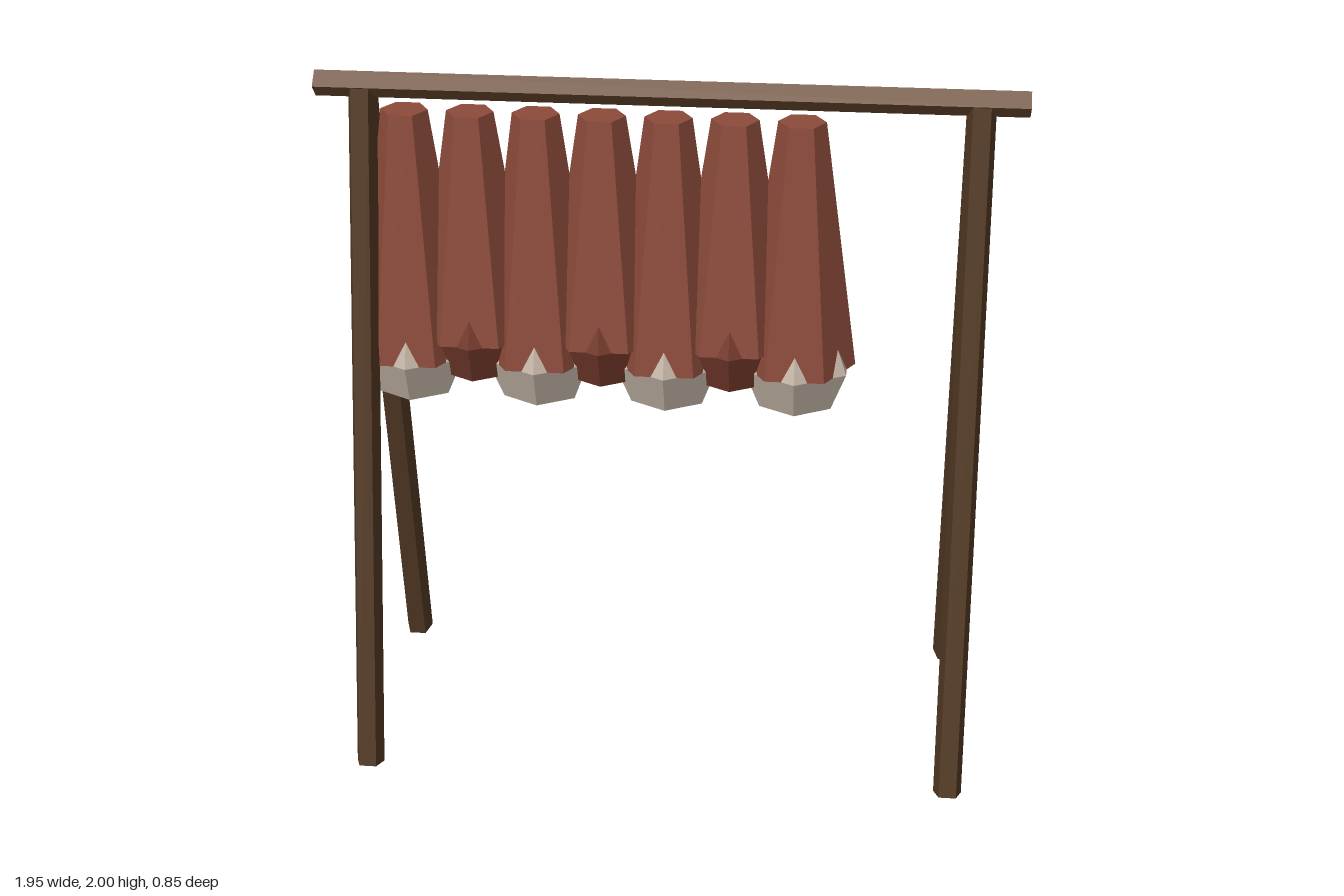
import * as THREE from 'three';

const mat = (color) => new THREE.MeshStandardMaterial({ color, flatShading: true });

export function createModel() {
  const model = new THREE.Group();
  model.name = 'dryingRack';

  const beamWood = mat(0x6b4a2f);
  const legWood = mat(0x523823);
  const red = mat(0x8b4a3a);
  const darkRed = mat(0x74392b);
  const pale = mat(0xc4b5a6);

  const add = (parent, name, geometry, material, x, y, z) => {
    const mesh = new THREE.Mesh(geometry, material);
    mesh.name = name;
    mesh.position.set(x, y, z);
    parent.add(mesh);
    return mesh;
  };

  // Four-sided ridge beam, one corner up
  const beam = add(model, 'beam', new THREE.CylinderGeometry(0.037, 0.037, 1.95, 4), beamWood, 0, 1.963, 0);
  beam.rotation.z = Math.PI / 2;

  // Two A-frames of five-sided poles
  const topY = 1.955, footY = 0.008, footZ = 0.39;
  const legLength = Math.hypot(topY - footY, footZ);
  const tilt = Math.atan2(footZ, topY - footY);
  const legGeometry = new THREE.CylinderGeometry(0.042, 0.042, legLength, 5, 1, false, Math.PI);
  for (const x of [-0.845, 0.845]) {
    for (const side of [1, -1]) {
      const name = (side > 0 ? 'front' : 'back') + (x > 0 ? 'LeftLeg' : 'RightLeg');
      const leg = add(model, name, legGeometry, legWood, x, (topY + footY) / 2, side * footZ / 2);
      leg.rotation.x = -side * tilt;
    }
  }

  // Row of hanging bundles; every other one is longer with a pale end
  const topOfBundle = 1.895;
  const endGeometry = new THREE.SphereGeometry(0.165, 6, 4, Math.PI / 2);
  for (let i = 0; i < 7; i++) {
    const isPale = i % 2 === 0;
    const bottom = isPale ? 1.18 : 1.247;
    const height = topOfBundle - bottom;
    const bundle = new THREE.Group();
    bundle.name = 'hangingBundle' + (i + 1);
    bundle.position.x = -0.73 + i * 0.1825;
    add(bundle, 'bundleBody', new THREE.CylinderGeometry(0.066, 0.166, height, 6, 1, false, Math.PI / 2),
      red, 0, bottom + height / 2, 0);
    add(bundle, 'bundleEnd', endGeometry, isPale ? pale : darkRed, 0, bottom, 0);
    model.add(bundle);
  }

  return model;
}
